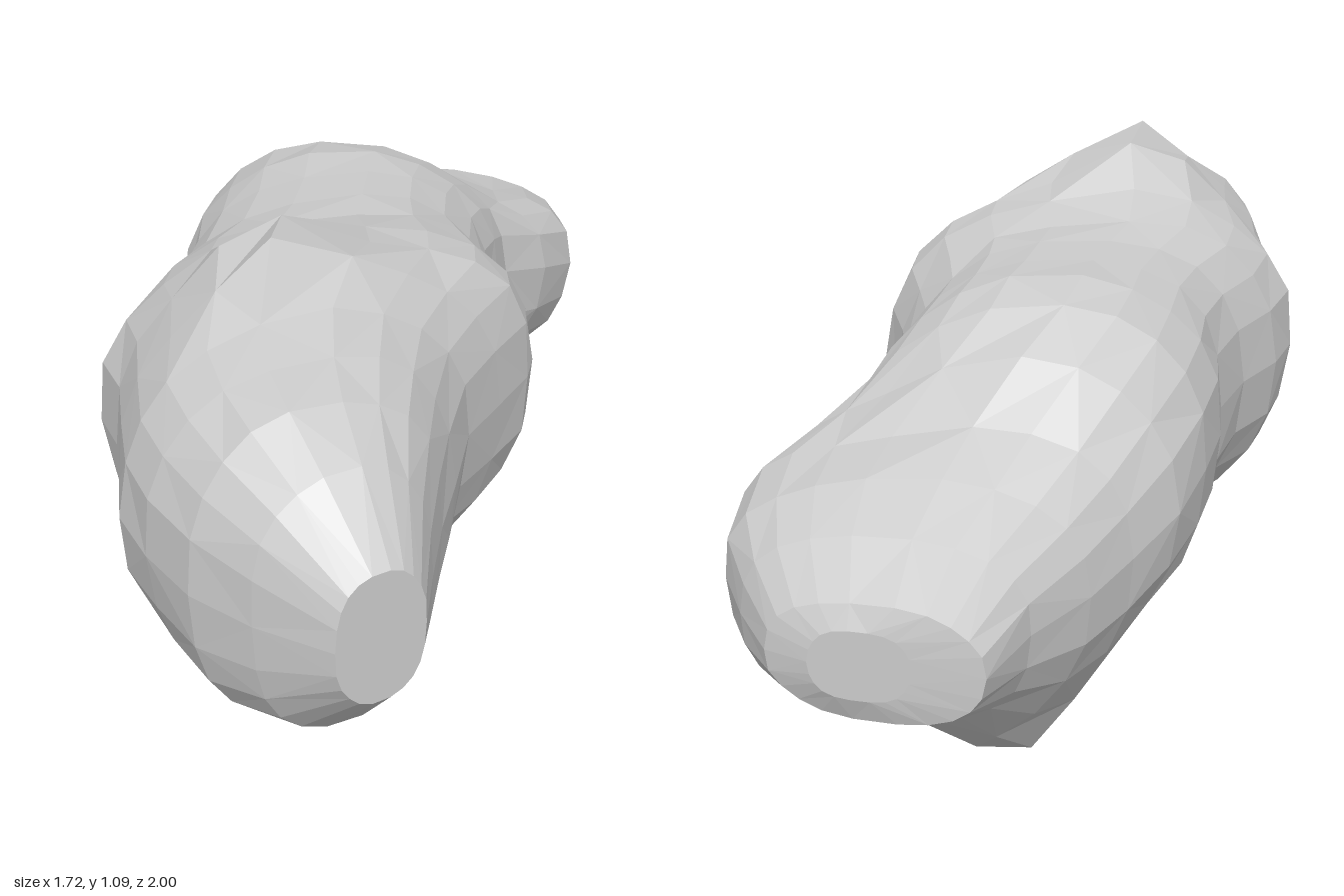
import * as THREE from 'three';

const SIDES = 22;

// Rings along the bent body: left edge x,z, right edge x,z, bottom y, top y
const RINGS = [
  [-0.70, 1.00, -0.50, 1.00, 0.43, 0.72],
  [-0.79, 0.84, -0.40, 0.87, 0.28, 0.86],
  [-0.85, 0.70, -0.30, 0.75, 0.23, 0.93],
  [-0.865, 0.55, -0.20, 0.64, 0.23, 0.95],
  [-0.86, 0.42, -0.08, 0.51, 0.25, 0.96],
  [-0.80, 0.28, 0.06, 0.42, 0.21, 0.98],
  [-0.74, 0.13, 0.20, 0.34, 0.20, 0.98],
  [-0.71, 0.00, 0.26, 0.26, 0.19, 0.97],
  [-0.62, -0.09, 0.28, 0.13, 0.20, 0.95],
  [-0.48, -0.18, 0.30, 0.03, 0.21, 0.94],
  [-0.36, -0.31, 0.36, -0.07, 0.21, 0.94],
  [-0.28, -0.45, 0.43, -0.13, 0.20, 0.94],
  [-0.18, -0.58, 0.50, -0.19, 0.19, 0.92],
  [-0.06, -0.68, 0.64, -0.23, 0.18, 0.85],
  [0.07, -0.75, 0.78, -0.30, 0.18, 0.75],
  [0.20, -0.82, 0.85, -0.44, 0.19, 0.68],
  [0.36, -0.90, 0.862, -0.58, 0.23, 0.61],
  [0.50, -1.00, 0.85, -0.72, 0.28, 0.53],
  [0.62, -0.92, 0.79, -0.80, 0.33, 0.48],
];

// Local swellings: x, z, radius, height, on top (1) or underside (-1)
const BUMPS = [
  [-0.43, 0.28, 0.15, 0.14, 1],    // peak
  [0.28, -0.58, 0.20, -0.23, -1],  // foot
  [0.52, -0.30, 0.20, -0.10, 1],   // shelf beside the ridge
];

// Rounded-box curve between a circle and a square
const soften = (v) => Math.sign(v) * Math.pow(Math.abs(v), 0.82);

function ringPoint([lx, lz, rx, rz, bottom, top], i, j) {
  const a = (j / SIDES) * Math.PI * 2;
  const c = soften(Math.cos(a)), s = soften(Math.sin(a));
  // Slight unevenness of the stone
  const k = 1 - 0.015 * (1 + Math.sin(i * 2.3 + j * 1.7) * Math.cos(j * 2.9 - i));
  const x = (lx + rx) / 2 + ((rx - lx) / 2) * c * k;
  const z = (lz + rz) / 2 + ((rz - lz) / 2) * c * k;
  let y = (bottom + top) / 2 + ((top - bottom) / 2) * s * k;
  for (const [bx, bz, r, h, side] of BUMPS) {
    const d2 = ((x - bx) ** 2 + (z - bz) ** 2) / (r * r);
    y += h * Math.exp(-d2) * Math.max(0, s * side);
  }
  return [x, Math.max(0, y), z];
}

function bodyGeometry() {
  const pos = [], index = [];
  RINGS.forEach((ring, i) => {
    for (let j = 0; j < SIDES; j++) pos.push(...ringPoint(ring, i, j));
  });
  const last = RINGS.length - 1;
  const id = (i, j) => i * SIDES + (j % SIDES);

  // Skin between neighbouring rings
  for (let i = 0; i < last; i++) {
    for (let j = 0; j < SIDES; j++) {
      const a = id(i, j), b = id(i + 1, j), c = id(i + 1, j + 1), d = id(i, j + 1);
      if ((i + j) % 2) index.push(a, b, d, b, c, d);
      else index.push(a, b, c, a, c, d);
    }
  }

  // End caps
  for (const i of [0, last]) {
    const [lx, lz, rx, rz, bottom, top] = RINGS[i];
    const centre = pos.length / 3;
    pos.push((lx + rx) / 2, (bottom + top) / 2, (lz + rz) / 2);
    for (let j = 0; j < SIDES; j++) {
      if (i === 0) index.push(centre, id(i, j), id(i, j + 1));
      else index.push(centre, id(i, j + 1), id(i, j));
    }
  }

  const geometry = new THREE.BufferGeometry();
  geometry.setAttribute('position', new THREE.Float32BufferAttribute(pos, 3));
  geometry.setIndex(index);
  geometry.computeVertexNormals();
  return geometry;
}

export function createModel() {
  const group = new THREE.Group();
  group.name = 'rock';
  const material = new THREE.MeshStandardMaterial({ color: 0xcccccc, flatShading: true });
  const body = new THREE.Mesh(bodyGeometry(), material);
  body.name = 'rockBody';
  group.add(body);
  return group;
}
